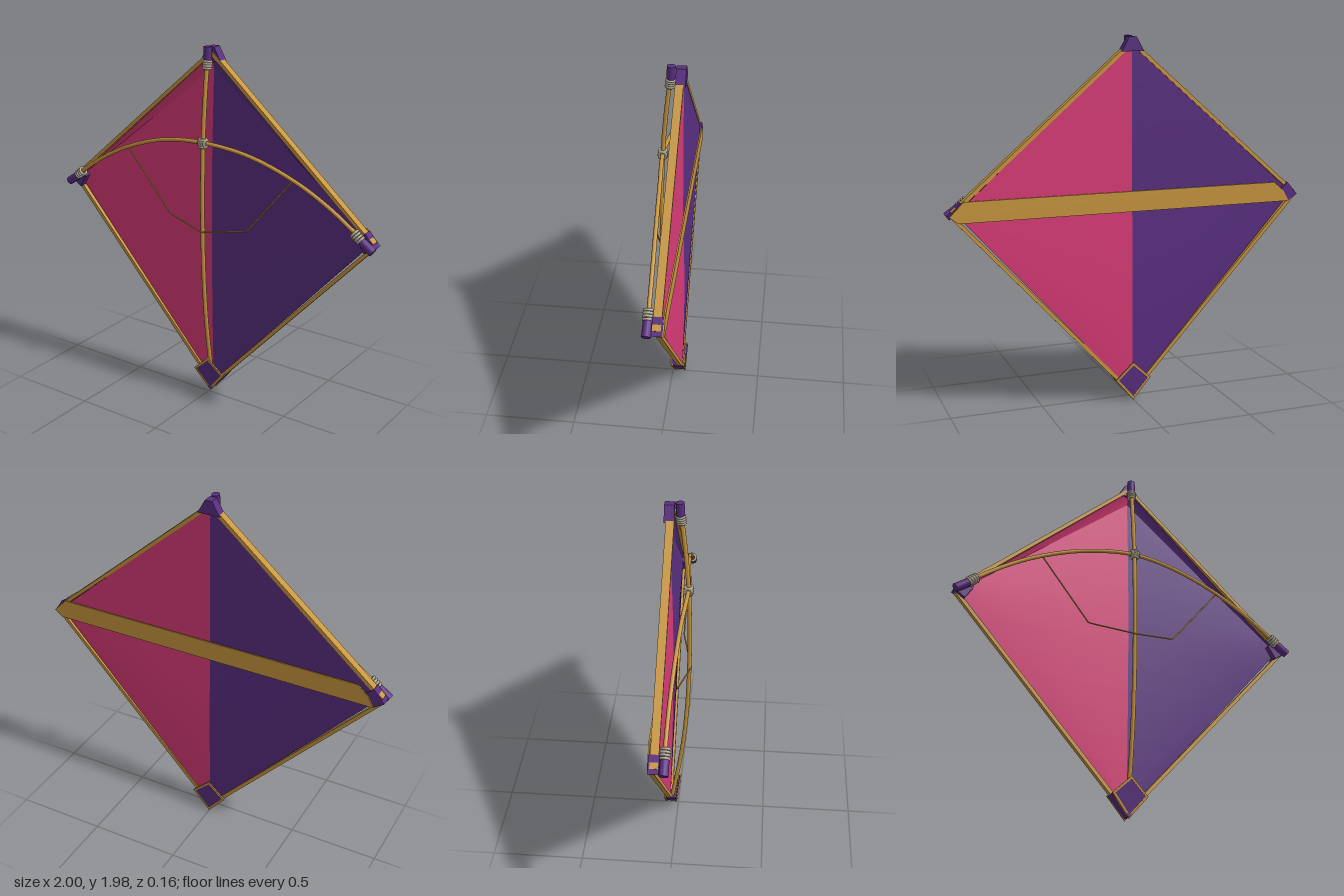
import * as THREE from 'three';

const mat = (name, color, side = THREE.FrontSide) => {
  const m = new THREE.MeshStandardMaterial({ color, side });
  m.name = name;
  return m;
};
const V = (x, y, z) => new THREE.Vector3(x, y, z);

export function createModel() {
  const kite = new THREE.Group();
  kite.name = 'kite';
  const pink = mat('pink cloth', 0xd93b77, THREE.DoubleSide);
  const purple = mat('purple cloth', 0x592e80, THREE.DoubleSide);
  const gold = mat('golden wood', 0xc8963e);
  const rope = mat('pale rope', 0xb5ab98);

  const add = (name, geometry, material) => {
    const mesh = new THREE.Mesh(geometry, material);
    mesh.name = name;
    kite.add(mesh);
    return mesh;
  };

  // Flat plate from an outline in x, y between two depths, with optional hole
  const plate = (pts, z0, z1, hole) => {
    const shape = new THREE.Shape(pts.map(p => new THREE.Vector2(...p)));
    if (hole) shape.holes.push(new THREE.Path(hole.map(p => new THREE.Vector2(...p))));
    return new THREE.ExtrudeGeometry(shape, { depth: z1 - z0, bevelEnabled: false }).translate(0, 0, z0);
  };

  // Straight hem between two points in x, y
  const bar = (name, a, b, width, z0, z1, material) => {
    const dx = b[0] - a[0], dy = b[1] - a[1];
    const m = add(name, new THREE.BoxGeometry(Math.hypot(dx, dy), width, z1 - z0), material);
    m.position.set((a[0] + b[0]) / 2, (a[1] + b[1]) / 2, (z0 + z1) / 2);
    m.rotation.z = Math.atan2(dy, dx);
  };

  const tube = (name, pts, r, material, smooth = true) => {
    const curve = smooth ? new THREE.CatmullRomCurve3(pts) : new THREE.CurvePath();
    if (!smooth) for (let i = 1; i < pts.length; i++) curve.add(new THREE.LineCurve3(pts[i - 1], pts[i]));
    return add(name, new THREE.TubeGeometry(curve, 48, r, 10), material);
  };

  // Cylinder whose axis joins two points
  const rod = (name, a, b, r, material) => {
    const m = add(name, new THREE.CylinderGeometry(r, r, a.distanceTo(b), 14), material);
    m.position.copy(a).lerp(b, 0.5);
    m.quaternion.setFromUnitVectors(V(0, 1, 0), b.clone().sub(a).normalize());
  };

  // Rope lashing: a stack of rings along an axis
  const lashing = (name, a, b, r, rings = 4) => {
    const dir = b.clone().sub(a).normalize();
    for (let i = 0; i < rings; i++) {
      const m = add(name, new THREE.TorusGeometry(r, 0.0075, 6, 16), rope);
      m.position.copy(a).lerp(b, i / (rings - 1));
      m.quaternion.setFromUnitVectors(V(0, 0, 1), dir);
    }
  };

  // Half of a sail layer: a grid fitted to the outline, with depth by rule
  const sailHalf = (name, side, topY, depth, material) => {
    const g = new THREE.PlaneGeometry(1, 1, 8, 16);
    const p = g.attributes.position;
    for (let i = 0; i < p.count; i++) {
      const s = p.getX(i) + 0.5, t = p.getY(i) + 0.5;
      const y = t < 0.5 ? 0.04 + t * 2 * 1.06 : 1.1 + (t - 0.5) * 2 * (topY - 1.1);
      const x = s * 0.95 * (1 - Math.abs(t - 0.5) * 2);
      p.setXYZ(i, side * x, y, depth(s, t));
    }
    g.computeVertexNormals();
    add(name, g, material);
  };

  const frontDepth = (s, t) => -0.047 + 0.02 * Math.sin(Math.PI * t) * (1 - s * s);
  const backDepth = (s, t) => -0.054 - (t < 0.5 ? 0.01 * Math.sin(2 * Math.PI * t) * (1 - s * s) : 0);

  for (const side of [-1, 1]) {
    // Sail layers, with the colours swapped on the back
    const front = side < 0 ? pink : purple, back = side < 0 ? purple : pink;
    sailHalf('frontSail', side, 1.86, frontDepth, front);
    sailHalf('backSail', side, 1.94, backDepth, back);

    // Sloping lip inside the upper edge
    const lip = new THREE.BufferGeometry().setFromPoints([
      V(0, 1.945, -0.018), V(side * 0.96, 1.105, -0.02), V(side * 0.95, 1.1, -0.047), V(0, 1.86, -0.047)]);
    lip.setIndex([0, 1, 2, 0, 2, 3]);
    lip.computeVertexNormals();
    add('sailLip', lip, front);

    // Hems along the outline
    bar('upperHem', [0, 1.945], [side * 0.965, 1.105], 0.02, -0.058, -0.016, gold);
    bar('lowerHem', [0, 0.03], [side * 0.965, 1.085], 0.02, -0.06, -0.034, gold);

    // Side corner sleeve
    const corner = [[0.985, 1.09], [0.925, 1.16], [0.88, 1.12], [0.925, 1.05]].map(([x, y]) => [side * x, y]);
    add('cornerSleeve', plate(corner, -0.066, -0.013), purple);

    // End cap and lashing of the bow
    rod('bowCap', V(side * 0.985, 1.08, 0.01), V(side * 0.91, 1.132, 0.01), 0.023, purple);
    lashing('bowLashing', V(side * 0.915, 1.13, 0.01), V(side * 0.88, 1.158, 0.011), 0.021);

    // Bottom pocket walls
    bar('pocketWall', [0, 0.012], [side * 0.095, 0.12], 0.008, -0.066, -0.01, purple);
  }

  // Broad strap across the back, running to the tip on one side only
  add('backStrap', plate([[0.985, 1.09], [0.91, 1.165], [-0.84, 1.165], [-0.9, 1.11], [-0.93, 1.055], [0.94, 1.055]],
    -0.073, -0.065), gold);

  // Top sleeve
  add('topSleeve', plate([[-0.062, 1.9], [-0.02, 1.975], [0.02, 1.975], [0.062, 1.9]], -0.068, -0.017), purple);

  // Bottom pocket: bordered diamonds leaning apart at front and back
  const outer = [[0, 0], [0.1, 0.12], [0, 0.215], [-0.1, 0.12]];
  const inner = [[0, 0.02], [0.084, 0.12], [0, 0.198], [-0.084, 0.12]];
  for (const [z, lean] of [[-0.018, 0.15], [-0.07, -0.03]]) {
    const panel = plate(inner, z - 0.003, z + 0.003), border = plate(outer, z - 0.004, z + 0.004, inner);
    for (const g of [panel, border]) {
      const p = g.attributes.position;
      for (let i = 0; i < p.count; i++) p.setZ(i, p.getZ(i) + lean * p.getY(i));
      g.computeVertexNormals();
    }
    add('pocketPanel', panel, purple);
    add('pocketBorder', border, gold);
  }

  // Bowed spine
  tube('spine', [V(0, 0.06, -0.035), V(0, 0.22, -0.008), V(0, 0.45, 0.025), V(0, 0.75, 0.05), V(0, 1.1, 0.06),
    V(0, 1.48, 0.053), V(0, 1.72, 0.035), V(0, 1.94, 0.01)], 0.012, gold);
  rod('spineCap', V(0, 1.9, 0.012), V(0, 1.98, 0.008), 0.022, purple);
  lashing('spineLashing', V(0, 1.87, 0.016), V(0, 1.905, 0.012), 0.019);

  // Curved bow
  const bow = [-0.92, -0.72, -0.53, -0.27, 0, 0.27, 0.53, 0.72, 0.92].map(x =>
    V(x, 1.482 - 0.41 * x * x, 0.008 + 0.044 * Math.pow(1 - Math.abs(x) / 0.92, 1.4)));
  tube('bow', bow, 0.011, gold);
  lashing('crossLashing', V(0, 1.463, 0.053), V(0, 1.5, 0.053), 0.019);
  lashing('crossLashing', V(-0.017, 1.481, 0.052), V(0.017, 1.481, 0.052), 0.019, 3);

  // Thin bridle hanging from the bow
  tube('bridle', [V(-0.53, 1.367, 0.022), V(-0.25, 1.03, 0.012), V(0, 0.99, 0.07),
    V(0.25, 1.03, 0.012), V(0.53, 1.367, 0.022)], 0.004, gold, false);

  return kite;
}
